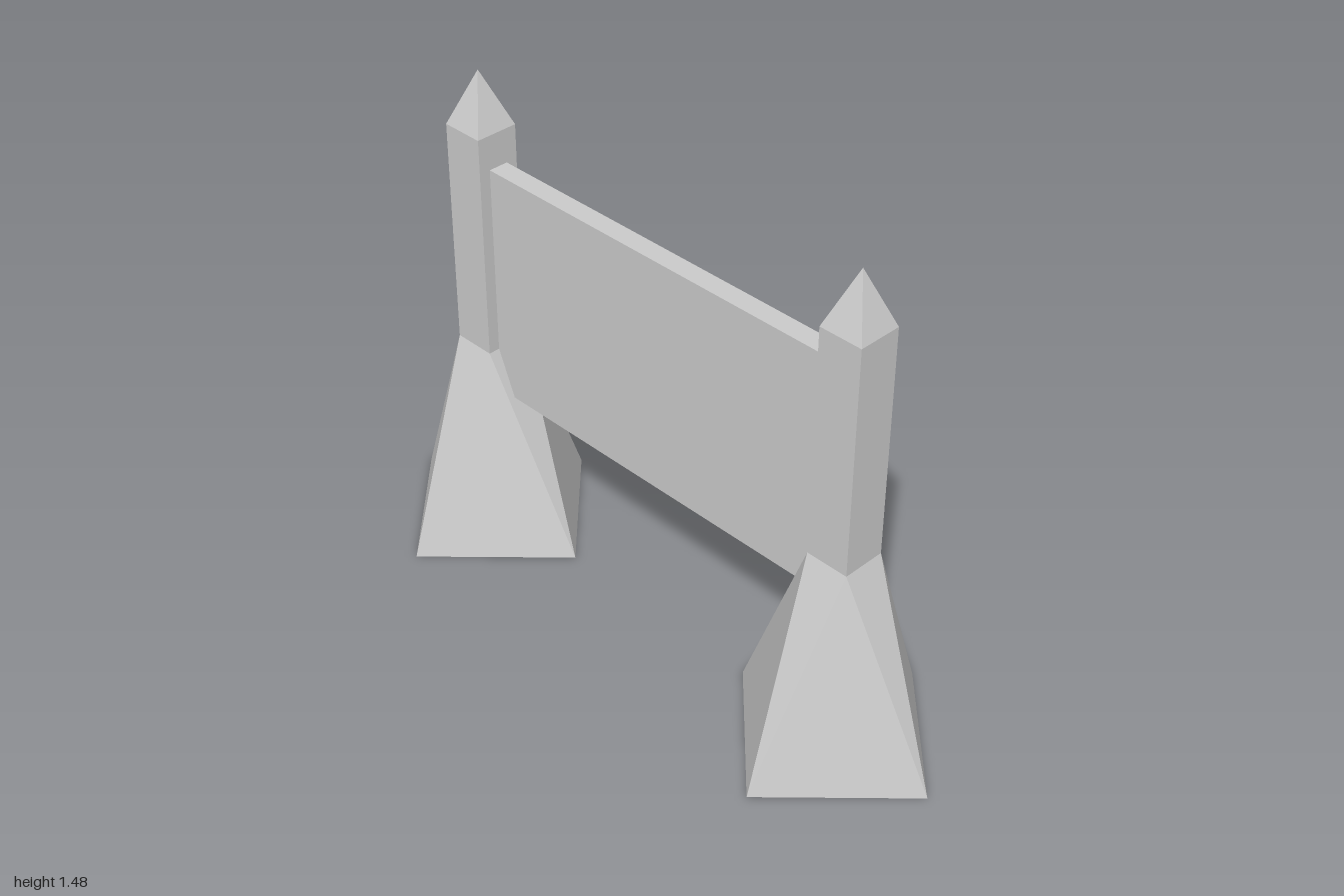
import * as THREE from 'three';
import { ConvexGeometry } from 'three/addons/geometries/ConvexGeometry.js';

const material = new THREE.MeshStandardMaterial({ color: 0xcccccc, flatShading: true });

const POST_X = 0.67;      // post centre
const HALF = 0.065;       // half width of the square post
const FOOT = 0.33;        // centre to corner of the diamond foot
const FOOT_TOP = 0.63, POST_TOP = 1.313, TIP = 1.475;

function part(name, geometry, y) {
  const mesh = new THREE.Mesh(geometry, material);
  mesh.name = name;
  mesh.position.y = y;
  return mesh;
}

// Four corners of a square ring, turned by an angle
function ring(radius, y, turn) {
  return [0, 1, 2, 3].map((i) => {
    const a = turn + (i * Math.PI) / 2;
    return new THREE.Vector3(radius * Math.cos(a), y, radius * Math.sin(a));
  });
}

function createPost(name, x) {
  const post = new THREE.Group();
  post.name = name;
  post.position.x = x;

  // Foot: diamond on the ground twisting into the square shaft
  const corners = [...ring(FOOT, 0, 0), ...ring(HALF * Math.SQRT2, FOOT_TOP, Math.PI / 4)];
  post.add(part('foot', new ConvexGeometry(corners), 0));

  // Square shaft
  const shaftHeight = POST_TOP - FOOT_TOP;
  post.add(part('shaft', new THREE.BoxGeometry(2 * HALF, shaftHeight, 2 * HALF), FOOT_TOP + shaftHeight / 2));

  // Pyramid cap
  const capHeight = TIP - POST_TOP;
  const cap = new THREE.ConeGeometry(HALF * Math.SQRT2, capHeight, 4).rotateY(Math.PI / 4);
  post.add(part('cap', cap, POST_TOP + capHeight / 2));
  return post;
}

export function createModel() {
  const model = new THREE.Group();
  model.name = 'boardOnPosts';
  model.add(createPost('leftPost', POST_X), createPost('rightPost', -POST_X));

  // Flat board between the posts, set slightly into them
  model.add(part('board', new THREE.BoxGeometry(1.22, 0.72, 0.06), 0.85));
  return model;
}
